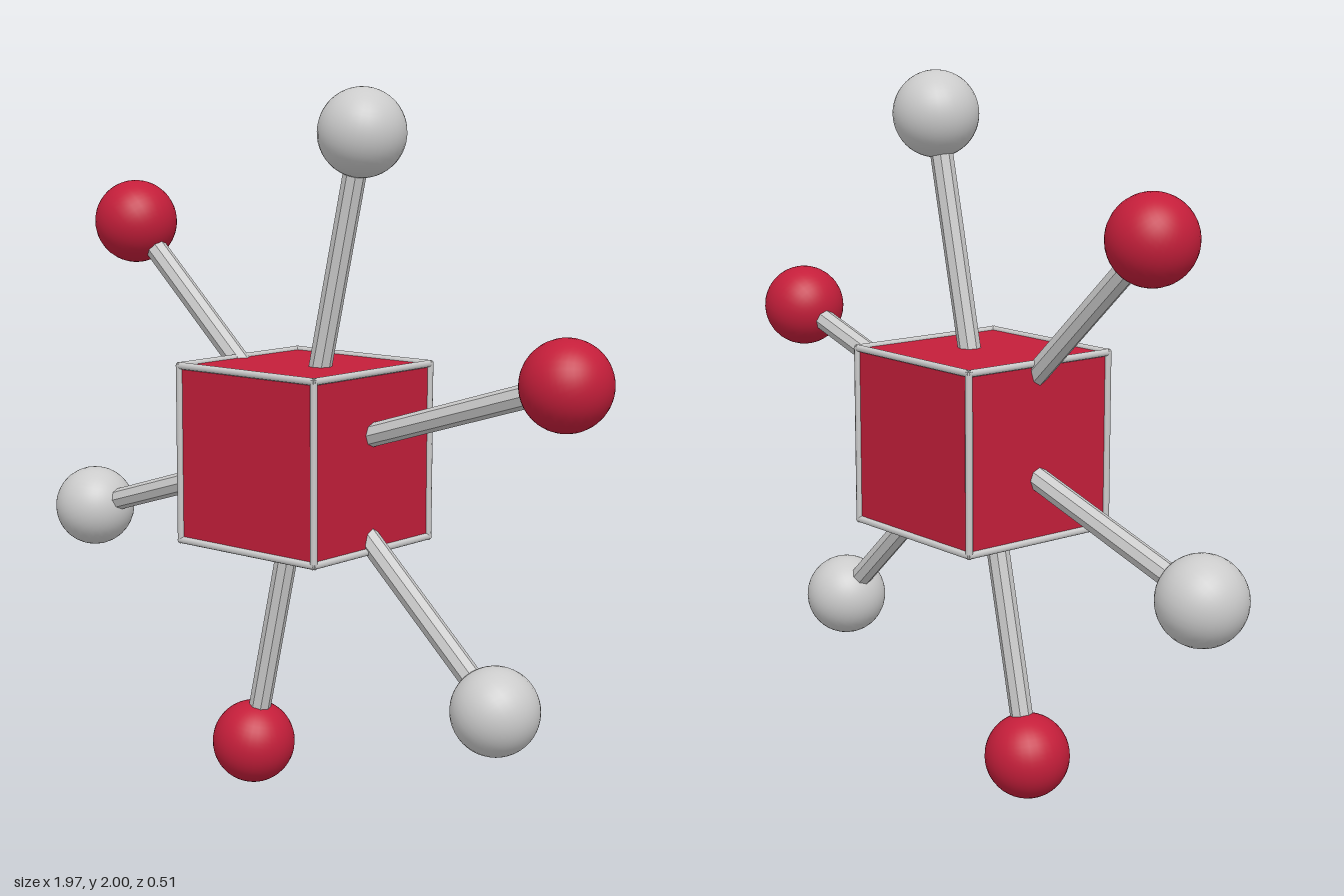
import * as THREE from 'three';

const RED = new THREE.MeshStandardMaterial({ color: 0xc41e3a });
const GREY = new THREE.MeshStandardMaterial({ color: 0xcccccc });
const GREY_FLAT = new THREE.MeshStandardMaterial({ color: 0xcccccc, flatShading: true });

const CENTER_Y = 1;
const CUBE = 0.49;
const REACH = 0.903;
const BALL_RADIUS = 0.12;
const ROD_RADIUS = 0.032;
const EDGE_RADIUS = 0.01;

function addMesh(parent, name, geometry, material) {
  const mesh = new THREE.Mesh(geometry, material);
  mesh.name = name;
  parent.add(mesh);
  return mesh;
}

export function createModel() {
  const model = new THREE.Group();
  model.name = 'spokedCube';

  const hub = new THREE.Group();
  hub.name = 'hub';
  hub.position.y = CENTER_Y;
  model.add(hub);

  // Central cube
  addMesh(hub, 'cube', new THREE.BoxGeometry(CUBE, CUBE, CUBE), RED);

  // Thin bars along the twelve cube edges, four per axis
  const h = CUBE / 2;
  const barGeometry = new THREE.CylinderGeometry(EDGE_RADIUS, EDGE_RADIUS, CUBE + EDGE_RADIUS, 8);
  for (const a of [-h, h]) {
    for (const b of [-h, h]) {
      addMesh(hub, 'edgeBarY', barGeometry, GREY).position.set(a, 0, b);
      const barX = addMesh(hub, 'edgeBarX', barGeometry, GREY);
      barX.rotation.z = Math.PI / 2;
      barX.position.set(0, a, b);
      const barZ = addMesh(hub, 'edgeBarZ', barGeometry, GREY);
      barZ.rotation.x = Math.PI / 2;
      barZ.position.set(a, b, 0);
    }
  }

  // Six spokes in the front plane, balls alternating red and grey
  const rodGeometry = new THREE.CylinderGeometry(ROD_RADIUS, ROD_RADIUS, REACH, 8);
  const ballGeometry = new THREE.SphereGeometry(BALL_RADIUS, 32, 24);
  const start = THREE.MathUtils.degToRad(17.2);
  for (let i = 0; i < 6; i++) {
    const spoke = new THREE.Group();
    spoke.name = 'spoke';
    spoke.rotation.z = start + i * Math.PI / 3 - Math.PI / 2;
    addMesh(spoke, 'rod', rodGeometry, GREY_FLAT).position.y = REACH / 2;
    addMesh(spoke, 'ball', ballGeometry, i % 2 ? GREY : RED).position.y = REACH;
    hub.add(spoke);
  }

  return model;
}
